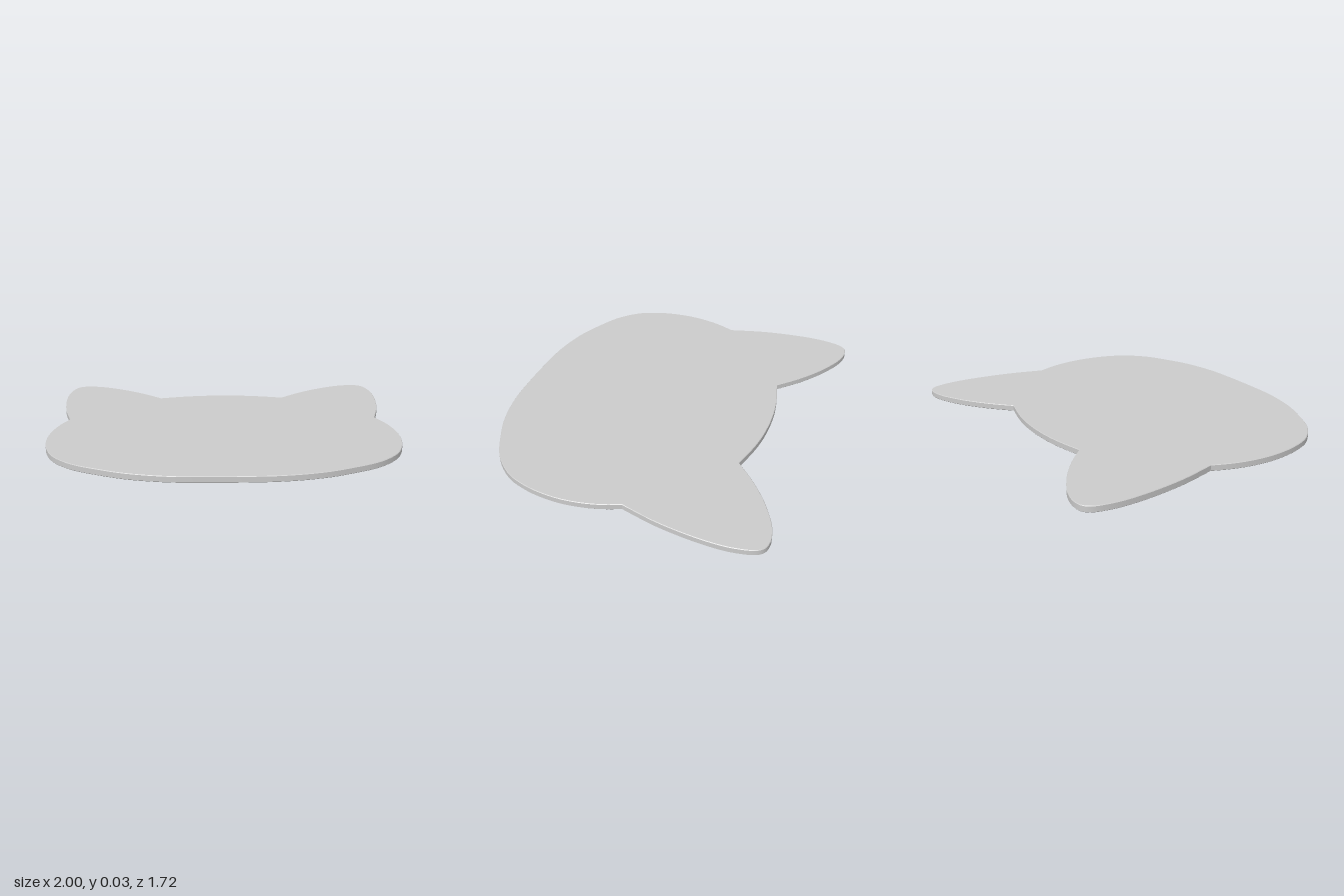
import * as THREE from 'three';
import { toCreasedNormals } from 'three/addons/utils/BufferGeometryUtils.js';

const HEIGHT = 0.034;
const BEVEL = 0.003;

// Smooth arcs of the +x half outline as [x, z], meeting at sharp corners
const crown = [[0, -0.615], [0.1, -0.611], [0.2, -0.599], [0.3, -0.578], [0.39, -0.555]];
const ear = [
  [0.39, -0.555], [0.5, -0.66], [0.61, -0.745], [0.7, -0.8], [0.78, -0.84], [0.85, -0.86], [0.9, -0.863],
  [0.945, -0.85], [0.975, -0.81], [0.992, -0.74], [1, -0.66], [0.997, -0.55], [0.983, -0.42], [0.958, -0.28], [0.91, -0.105],
];
const cheek = [
  [0.91, -0.105], [0.95, 0], [0.975, 0.11], [0.984, 0.23], [0.971, 0.36], [0.94, 0.47], [0.9, 0.55],
  [0.83, 0.63], [0.75, 0.69], [0.63, 0.75], [0.52, 0.797], [0.39, 0.832], [0.25, 0.853], [0.1, 0.859], [0, 0.86],
];

// Shape y is -z, so the plate lies flat after one rotation
function arc(points, divisions) {
  const curve = new THREE.SplineCurve(points.map(([x, z]) => new THREE.Vector2(x, -z)));
  return curve.getPoints(divisions).slice(0, -1);
}

function headOutline() {
  const half = [...arc(crown, 12), ...arc(ear, 42), ...arc(cheek, 42), new THREE.Vector2(0, -0.86)];
  const mirrored = half.slice(1, -1).reverse().map((p) => new THREE.Vector2(-p.x, p.y));
  return new THREE.Shape([...half, ...mirrored]);
}

export function createModel() {
  const group = new THREE.Group();
  group.name = 'catHeadPlate';

  // Flat plate with a fine chamfer along both rims
  const geometry = new THREE.ExtrudeGeometry(headOutline(), {
    depth: HEIGHT - 2 * BEVEL,
    bevelEnabled: true,
    bevelThickness: BEVEL,
    bevelSize: BEVEL,
    bevelOffset: -BEVEL,
    bevelSegments: 1,
  });
  geometry.rotateX(-Math.PI / 2);
  geometry.translate(0, BEVEL, 0);

  const plate = new THREE.Mesh(
    toCreasedNormals(geometry, Math.PI / 6),
    new THREE.MeshStandardMaterial({ color: 0xcccccc }),
  );
  plate.name = 'plate';
  group.add(plate);
  return group;
}
